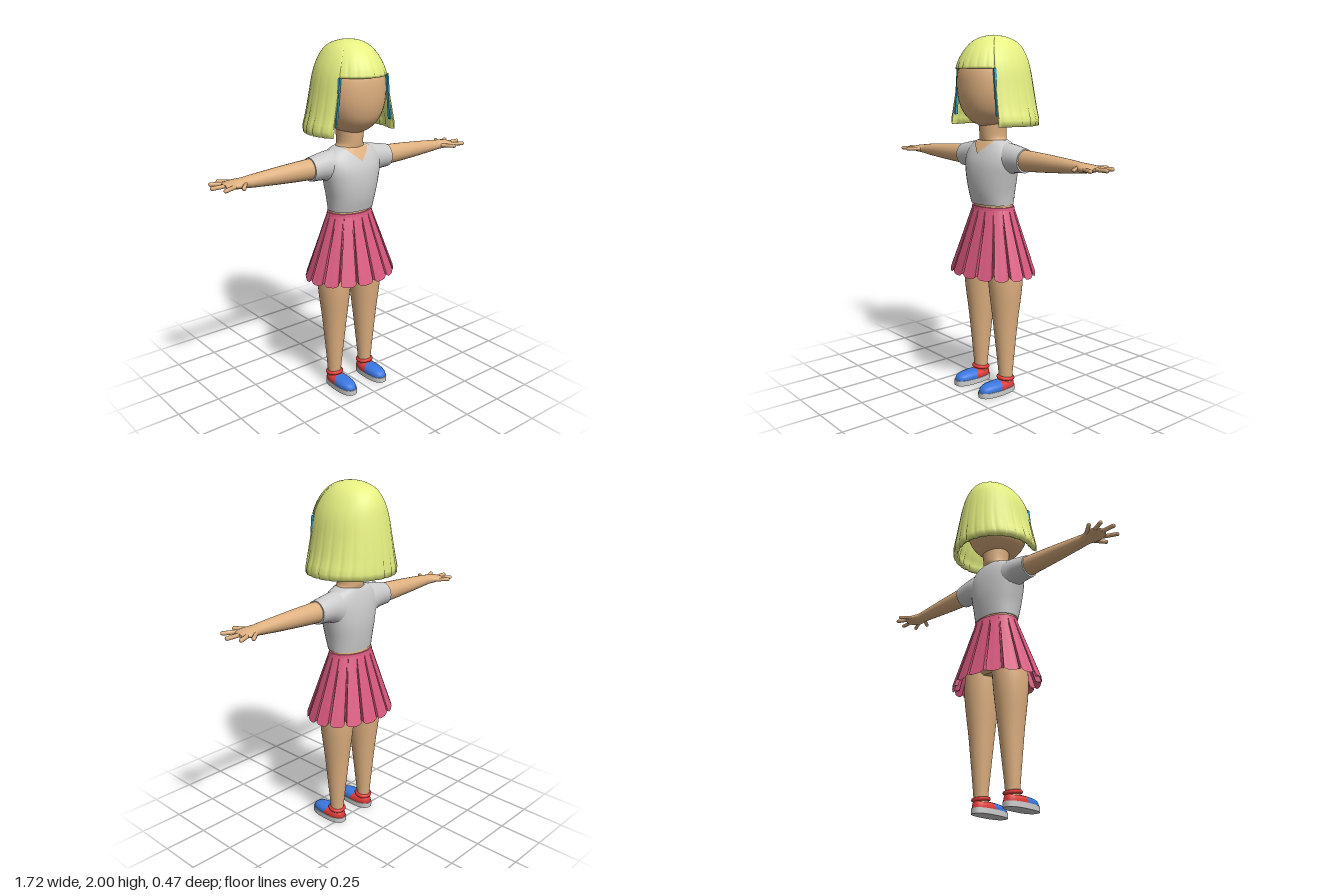
import * as THREE from 'three';
import { ParametricGeometry } from 'three/addons/geometries/ParametricGeometry.js';

const mat = (color, side = THREE.FrontSide) => new THREE.MeshStandardMaterial({ color, side, roughness: 0.8 });
const skin = mat(0xdeb080), cloth = mat(0xcccccc);
const pink = mat(0xdb5a80, THREE.DoubleSide), yellow = mat(0xe6f082, THREE.DoubleSide);
const blue = mat(0x3a78e0), red = mat(0xe23c38), teal = mat(0x35a8cc);

function add(parent, name, geometry, material) {
  const mesh = new THREE.Mesh(geometry, material);
  mesh.name = name;
  parent.add(mesh);
  return mesh;
}

// Catmull-Rom subdivision of a short table of rows
function smooth(rows, n = 5) {
  const out = [];
  for (let i = 0; i < rows.length - 1; i++) {
    const a = rows[Math.max(i - 1, 0)], b = rows[i], c = rows[i + 1], d = rows[Math.min(i + 2, rows.length - 1)];
    for (let k = 0; k < n; k++) {
      const t = k / n;
      out.push(b.map((v, j) => v + 0.5 * t * (c[j] - a[j] + t * (2 * a[j] - 5 * v + 4 * c[j] - d[j] + t * (3 * (v - c[j]) + d[j] - a[j])))));
    }
  }
  out.push(rows[rows.length - 1]);
  return out;
}

// Row of a table at a given first-column value (linear)
function rowAt(rows, y) {
  const up = rows[rows.length - 1][0] > rows[0][0];
  let i = 0;
  while (i < rows.length - 2 && (up ? rows[i + 1][0] < y : rows[i + 1][0] > y)) i++;
  const a = rows[i], b = rows[i + 1];
  const t = THREE.MathUtils.clamp((y - a[0]) / (b[0] - a[0]), 0, 1);
  return a.map((v, j) => v + (b[j] - v) * t);
}

// Skin rounded cross-sections [y, half width, front z, back z, centre x], bottom to top, capped
function loft(table, { seg = 32, t0 = 0, t1 = Math.PI * 2, power = 1, n = 5 } = {}) {
  const rings = smooth(table, n), first = rings[0], last = rings[rings.length - 1];
  const point = r => [r[0], 0, (r[2] + r[3]) / 2, (r[2] + r[3]) / 2, r[4]];
  const all = [point(first), first, first, ...rings.slice(1), last, point(last)];
  const full = t1 - t0 > 6.28, cols = full ? seg : seg + 1, pos = [], index = [];
  const bend = v => Math.sign(v) * Math.abs(v) ** power;
  all.forEach(([y, rx, zf, zb, cx = 0], i) => {
    for (let j = 0; j < cols; j++) {
      const t = t0 + (t1 - t0) * j / seg;
      pos.push(cx + rx * bend(Math.sin(t)), y, (zf + zb) / 2 + (zf - zb) / 2 * bend(Math.cos(t)));
      if (i === all.length - 1 || j === seg) continue;
      const a = i * cols + j, b = i * cols + (j + 1) % cols;
      index.push(a, b, b + cols, a, b + cols, a + cols);
    }
  });
  const g = new THREE.BufferGeometry();
  g.setAttribute('position', new THREE.Float32BufferAttribute(pos, 3));
  g.setIndex(index);
  g.computeVertexNormals();
  return g;
}

// Sheet from rows of points
function sheet(rows) {
  const w = rows[0].length, index = [];
  for (let i = 0; i < rows.length - 1; i++) for (let j = 0; j < w - 1; j++) {
    const a = i * w + j, b = a + w;
    index.push(a, b, b + 1, a, b + 1, a + 1);
  }
  const g = new THREE.BufferGeometry();
  g.setAttribute('position', new THREE.Float32BufferAttribute(rows.flat(2), 3));
  g.setIndex(index);
  g.computeVertexNormals();
  return g;
}

// Bobbed hair: a dome with a short fringe and long sides, folded inward at the hem
function hairGeometry() {
  const profile = smooth([[2, 0, 0, 0], [1.99, .06, .065, .07], [1.96, .11, .13, .145], [1.9, .155, .185, .187], [1.82, .188, .22, .21],
    [1.7, .212, .23, .23], [1.6, .235, .24, .243], [1.55, .253, .247, .248], [1.515, .25, .247, .248]], 4);
  const edge = 0.99, cols = [];
  for (let k = 0; k <= 48; k++) cols.push([-edge + 2 * edge * k / 48, 1.818]);
  for (let k = 0; k <= 112; k++) cols.push([edge + 2 * (Math.PI - edge) * k / 112, 1.515]);
  cols.push([2 * Math.PI - edge, 1.818]);
  const rows = [];
  const N = 30;
  for (let i = 0; i <= N + 16; i++) {
    const inner = i > N, s = inner ? 1 - (i - N - 1) / 28 : i / N;
    rows.push(cols.map(([t, bottom]) => {
      const y = 2 - (2 - bottom) * s * s;
      const [, rx, rf, rb] = rowAt(profile, y);
      const away = Math.min(Math.abs(t - edge), Math.abs(t - 2 * Math.PI + edge), Math.abs(t + edge));
      const thick = inner ? 0.025 * Math.min(1, away / 0.12) : 0;
      const groove = Math.max(0, 1 - Math.abs(((t / 0.2618 + 100.5) % 1) - 0.5) * 7);
      const k = 1 - 0.035 * groove * s ** 4;
      const c = Math.cos(t);
      return [Math.max(rx * k - thick, 0) * Math.sin(t), y, 0.012 + Math.max((c > 0 ? rf : rb) * k - thick, 0) * c];
    }));
  }
  return sheet(rows);
}

// Pleated skirt: raised panels with rounded hems and recessed folds
function skirtGeometry(pleats = 16) {
  const steps = [0, .05, .07, .2, .35, .5, .65, .8, .93, .95], rows = [];
  for (let i = 0; i <= 12; i++) {
    const s = i / 12, row = [];
    for (let p = 0; p <= pleats; p++) for (const t of p < pleats ? steps : [0]) {
      const angle = (p + t) / pleats * Math.PI * 2;
      const sunk = t < .06 || t > .94 ? 0.03 * s + 0.002 : 0;
      const rx = .137 + .138 * s - sunk, rz = .102 + .113 * s - sunk;
      const hem = .685 + .025 * (2 * t - 1) ** 4;
      row.push([rx * Math.sin(angle), 1.06 + (hem - 1.06) * s, .017 + .005 * s + rz * Math.cos(angle)]);
    }
    rows.push(row);
  }
  const g = sheet(rows).toNonIndexed();
  g.computeVertexNormals();
  return g;
}

export function createModel() {
  const model = new THREE.Group();
  model.name = 'girl';

  // Head and neck
  add(model, 'head', loft([[1.515, .055, .1, -.06], [1.54, .1, .145, -.09], [1.6, .148, .192, -.13], [1.7, .179, .215, -.16],
    [1.82, .172, .208, -.16], [1.9, .125, .15, -.12], [1.94, .05, .07, -.05]], { power: .92 }), skin);
  add(model, 'neck', loft([[1.4, .1, .085, -.05], [1.43, .085, .088, -.052], [1.46, .073, .093, -.058], [1.54, .08, .1, -.06]]), skin);
  add(model, 'hair', hairGeometry(), yellow);

  // Shirt body with a V-shaped neckline lying on it
  const torso = [[1.08, .135, .122, -.076], [1.15, .145, .14, -.085], [1.23, .163, .148, -.09], [1.31, .18, .142, -.085],
    [1.37, .178, .12, -.074], [1.415, .14, .094, -.06], [1.436, .09, .08, -.048]];
  add(model, 'shirt', loft(torso, { power: .9 }), cloth);
  const fine = smooth(torso);
  add(model, 'neckline', new ParametricGeometry((u, v, target) => {
    const y = 1.362 + .072 * v, x = (2 * u - 1) * .082 * v;
    const [, rx, zf, zb] = rowAt(fine, y);
    const bulge = (1 - Math.min(1, Math.abs(x / rx)) ** (2 / .9)) ** .45;
    target.set(x, y, (zf + zb) / 2 + (zf - zb) / 2 * bulge + .005);
  }, 16, 10), mat(0xdeb080, THREE.DoubleSide));

  // Hips, waistband and skirt
  add(model, 'hips', loft([[.74, .1, .08, -.05], [.8, .155, .12, -.085], [.92, .16, .125, -.09], [1.05, .131, .112, -.078], [1.085, .131, .112, -.072]]), skin);
  add(model, 'waistband', loft([[1.035, .143, .124, -.09], [1.068, .138, .12, -.085]]), pink);
  add(model, 'skirt', skirtGeometry(), pink);

  for (const side of [1, -1]) {
    const half = new THREE.Group();
    half.name = side > 0 ? 'leftLimbs' : 'rightLimbs';
    half.scale.x = side;
    model.add(half);

    // Sleeve and arm, lofted upright and laid along x
    const lay = table => loft(table.map(([x, h, zf, zb, y = 1.337]) => [x, h, zf, zb, -y]), { seg: 20 }).rotateZ(-Math.PI / 2);
    add(half, 'sleeve', lay([[.06, .105, .09, -.06, 1.325], [.12, .098, .09, -.062, 1.328], [.18, .077, .083, -.058, 1.34], [.268, .065, .075, -.05, 1.335]]), cloth);
    add(half, 'arm', lay([[.2, .057, .068, -.042], [.29, .056, .066, -.041], [.45, .047, .06, -.032], [.62, .034, .053, -.021], [.67, .028, .054, -.022],
      [.72, .023, .07, -.042], [.76, .017, .064, -.04], [.785, .009, .04, -.015]]), skin);

    // Fingers: root and tip as [x, z]
    const fingers = [[.68, .045, .73, .113], [.73, .05, .818, .092], [.74, .015, .85, .015], [.73, -.01, .82, -.055], [.7, -.02, .765, -.08]];
    for (const [x0, z0, x1, z1] of fingers) {
      const way = new THREE.Vector3(x1 - x0, 0, z1 - z0);
      const finger = add(half, 'finger', new THREE.CapsuleGeometry(.011, way.length(), 4, 10), skin);
      finger.position.set((x0 + x1) / 2, 1.337, (z0 + z1) / 2);
      finger.quaternion.setFromUnitVectors(new THREE.Vector3(0, 1, 0), way.normalize());
    }

    // Leg
    add(half, 'leg', loft([[.06, .038, .058, -.02, .115], [.12, .041, .061, -.023, .115], [.4, .067, .09, -.053, .112], [.69, .095, .12, -.085, .11], [.93, .08, .1, -.07, .09]]), skin);

    // Shoe: sole, toe, heel and ankle band
    const shoe = { power: .8, n: 1 };
    add(half, 'sole', loft([[0, .053, .205, -.036, .114], [.03, .053, .205, -.036, .114]], shoe), cloth);
    const upper = [[.03, .05, .2, -.032, .114], [.048, .049, .194, -.03, .114], [.062, .04, .175, -.025, .114], [.07, .024, .14, -.01, .114]];
    add(half, 'toe', loft(upper, { ...shoe, seg: 20, t0: -Math.PI / 2, t1: Math.PI / 2, n: 3 }), blue);
    add(half, 'heel', loft(upper, { ...shoe, seg: 20, t0: Math.PI / 2, t1: Math.PI * 1.5, n: 3 }), red);
    const band = add(half, 'ankleBand', new THREE.TorusGeometry(.041, .011, 8, 24).rotateX(Math.PI / 2), red);
    band.position.set(.115, .08, .02);
    band.rotation.x = -.12;

    // Coloured strip along the front edge of the hair
    const strip = add(half, 'hairStrip', new THREE.BoxGeometry(.01, .25, .016), teal);
    strip.position.set(.172, 1.695, .135);
    strip.rotation.z = .1;
  }
  return model;
}
